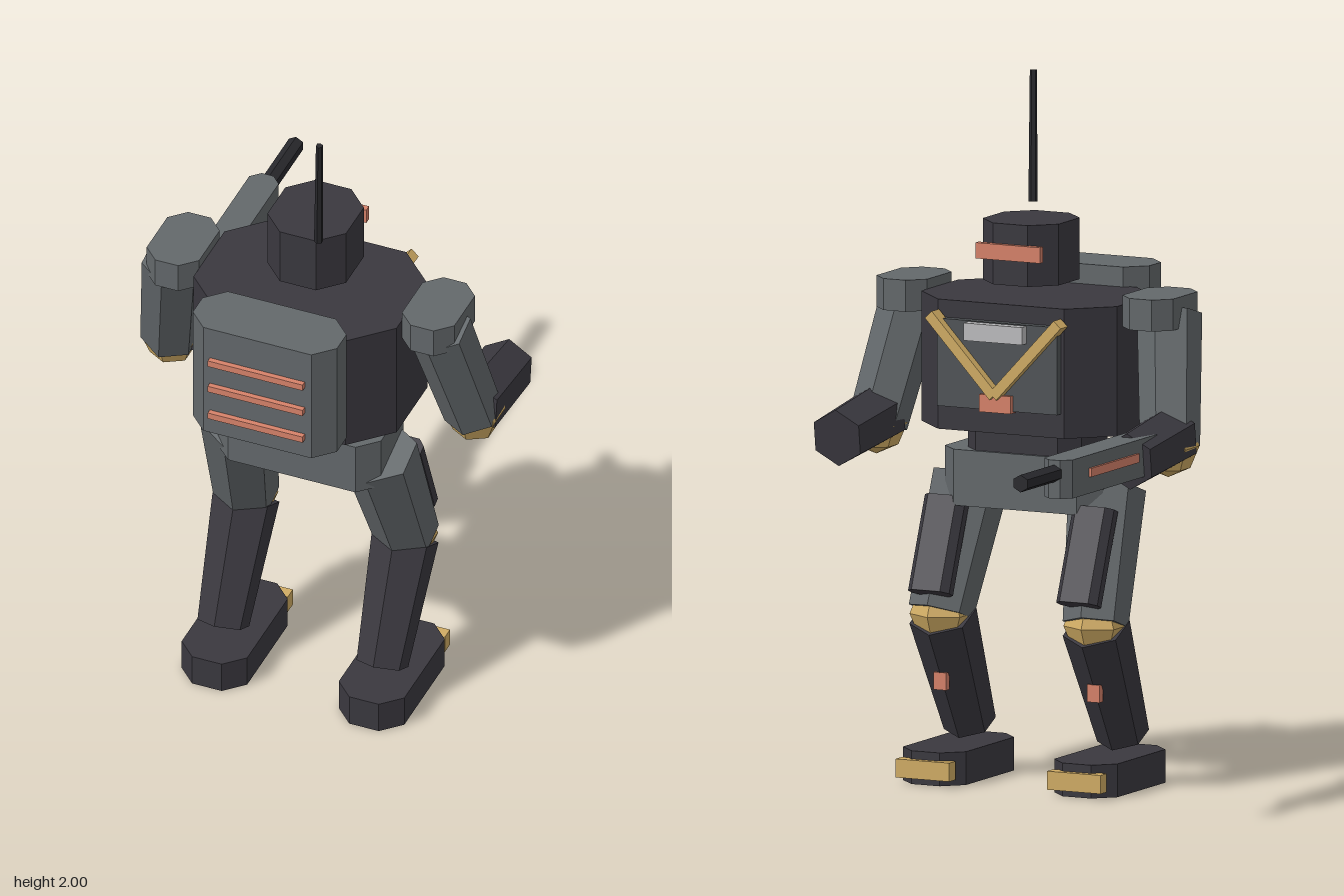
import * as THREE from 'three';

const mat = (name, color) => {
  const m = new THREE.MeshStandardMaterial({ color });
  m.name = name;
  m.flatShading = true;
  return m;
};
const V = (x, y, z) => new THREE.Vector3(x, y, z);

export function createModel() {
  const dark = mat('charcoal', 0x3a383f);
  const grey = mat('steel grey', 0x63686b);
  const panel = mat('panel grey', 0x505457);
  const black = mat('black', 0x29292d);
  const gold = mat('gold', 0xd0ac64);
  const orange = mat('salmon', 0xd6826a);
  const silver = mat('silver', 0xbcbcbe);

  const model = new THREE.Group();
  model.name = 'robot';

  const add = (parent, name, geo, material, x = 0, y = 0, z = 0) => {
    const mesh = new THREE.Mesh(geo, material);
    mesh.name = name;
    mesh.position.set(x, y, z);
    parent.add(mesh);
    return mesh;
  };

  // Upright block whose four vertical corners are cut by c, given by its ranges
  const block = (parent, name, material, [x0, x1], [y0, y1], [z0, z1], c) => {
    const a = (x1 - x0) / 2, b = (z1 - z0) / 2, h = y1 - y0;
    const s = new THREE.Shape([
      [a, -b + c], [a, b - c], [a - c, b], [-a + c, b],
      [-a, b - c], [-a, -b + c], [-a + c, -b], [a - c, -b],
    ].map(([x, y]) => new THREE.Vector2(x, y)));
    const geo = new THREE.ExtrudeGeometry(s, { depth: h, bevelEnabled: false });
    geo.translate(0, 0, -h / 2).rotateX(-Math.PI / 2);
    return add(parent, name, geo, material, (x0 + x1) / 2, (y0 + y1) / 2, (z0 + z1) / 2);
  };

  // Plain box given by centre and size
  const box = (parent, name, material, p, s) =>
    add(parent, name, new THREE.BoxGeometry(...s), material, ...p);

  // Tapered six-sided rod from point a to point b
  const limb = (parent, name, material, a, b, ra, rb) => {
    const dir = b.clone().sub(a);
    const mesh = add(parent, name, new THREE.CylinderGeometry(rb, ra, dir.length(), 6), material);
    mesh.position.copy(a).lerp(b, 0.5);
    mesh.quaternion.setFromUnitVectors(V(0, 1, 0), dir.normalize());
    return mesh;
  };

  const joint = (parent, name, x, y, z, r) =>
    add(parent, name, new THREE.SphereGeometry(r, 6, 4).rotateY(Math.PI / 2), gold, x, y, z);

  // Body
  block(model, 'torso', dark, [-0.31, 0.31], [1.02, 1.39], [0.075, 0.52], 0.11);
  block(model, 'waist', dark, [-0.18, 0.18], [0.93, 1.03], [0.17, 0.43], 0.05);
  block(model, 'pelvis', grey, [-0.25, 0.25], [0.79, 0.95], [0.16, 0.435], 0.055);

  // Head, visor and antenna
  block(model, 'head', dark, [-0.12, 0.12], [1.435, 1.61], [0.13, 0.39], 0.065);
  box(model, 'visor', orange, [0, 1.53, 0.125], [0.205, 0.045, 0.02]);
  limb(model, 'antenna', black, V(0.072, 1.63, 0.41), V(0.09, 2, 0.447), 0.013, 0.01);

  // Backpack with vents
  block(model, 'backpack', grey, [-0.22, 0.22], [1.08, 1.447], [0.505, 0.685], 0.055);
  for (const y of [1.15, 1.245, 1.335])
    box(model, 'backpackVent', orange, [0, y, 0.692], [0.29, 0.02, 0.018]);

  // Chest plate and its trim
  box(model, 'chestPlate', panel, [0, 1.215, 0.065], [0.38, 0.25, 0.03]);
  box(model, 'chestBadge', silver, [0, 1.312, 0.04], [0.185, 0.05, 0.035]);
  box(model, 'chestLight', orange, [0, 1.11, 0.05], [0.1, 0.05, 0.03]);

  for (const s of [1, -1]) {
    // Slanted chest bar
    const bar = box(model, 'chestBar', gold, [s * 0.102, 1.243, 0.045], [0.03, 0.3, 0.045]);
    bar.rotation.z = -s * 0.75;

    // Arm
    const arm = new THREE.Group();
    arm.name = s > 0 ? 'leftArm' : 'rightArm';
    model.add(arm);
    const sx = s * 0.39;
    block(arm, 'shoulder', grey, [sx - 0.08, sx + 0.08], [1.328, 1.418], [0.175, 0.415], 0.045);
    limb(arm, 'upperArm', grey, V(s * 0.463, 1.0, 0.215), V(s * 0.405, 1.36, 0.325), 0.085, 0.092);
    joint(arm, 'elbow', s * 0.463, 1.0, 0.205, 0.088);
    limb(arm, 'forearm', dark, V(s * 0.462, 1.025, 0.228), V(s * 0.462, 0.99, -0.038), 0.088, 0.082);

    // Leg
    const leg = new THREE.Group();
    leg.name = s > 0 ? 'leftLeg' : 'rightLeg';
    model.add(leg);
    limb(leg, 'thigh', grey, V(s * 0.245, 0.48, 0.18), V(s * 0.215, 0.85, 0.31), 0.093, 0.11);
    const guard = block(leg, 'thighGuard', dark, [-0.065, 0.065], [-0.14, 0.14], [-0.033, 0.033], 0.02);
    guard.position.set(s * 0.235, 0.675, 0.148);
    guard.rotation.x = 0.38;
    joint(leg, 'knee', s * 0.244, 0.475, 0.185, 0.092);
    limb(leg, 'shin', dark, V(s * 0.243, 0.138, 0.353), V(s * 0.243, 0.467, 0.188), 0.075, 0.097);
    box(leg, 'shinLight', orange, [s * 0.243, 0.283, 0.18], [0.04, 0.05, 0.022]);
    const fx = s * 0.24;
    block(leg, 'foot', dark, [fx - 0.1, fx + 0.1], [0, 0.095], [0.075, 0.48], 0.055);
    box(leg, 'toe', gold, [fx, 0.045, 0.075], [0.17, 0.053, 0.038]);
  }

  // Arm cannon
  const cannon = new THREE.Group();
  cannon.name = 'cannon';
  model.add(cannon);
  block(cannon, 'cannonBody', grey, [-0.51, -0.42], [0.95, 1.06], [-0.5, 0.07], 0.027);
  limb(cannon, 'muzzle', black, V(-0.465, 1.022, -0.49), V(-0.465, 1.022, -0.707), 0.025, 0.025);
  box(cannon, 'cannonStripe', orange, [-0.513, 1.01, -0.225], [0.009, 0.025, 0.295]);

  return model;
}
